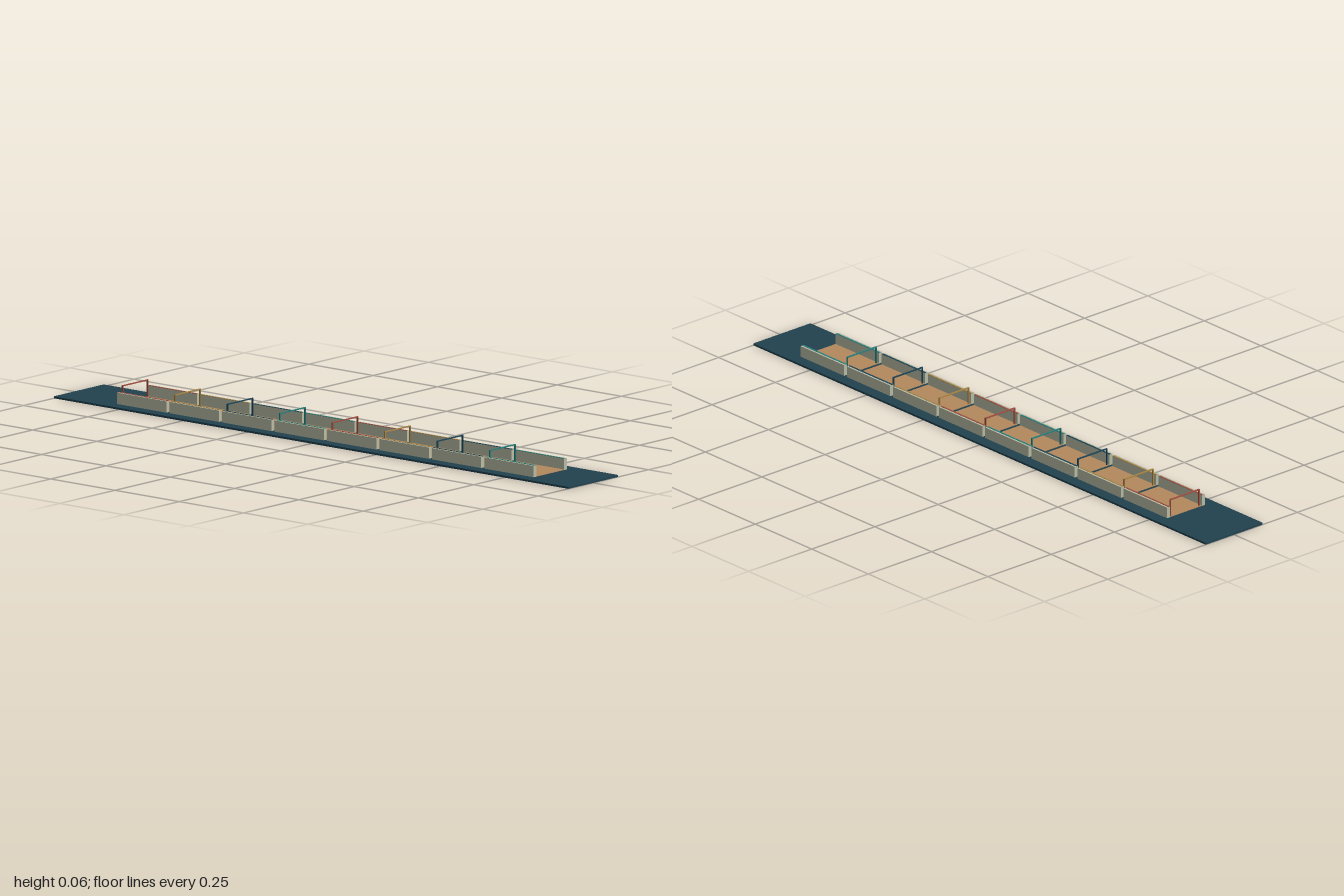
import * as THREE from 'three';

export function createModel() {
  const root = new THREE.Group();
  root.name = 'corridorOfRooms';
  const mat = (name, color) => {
    const m = new THREE.MeshStandardMaterial({ color });
    m.name = name;
    return m;
  };
  const baseMat = mat('deepBlueGreen', 0x21424f);
  const floorMat = mat('tanFloor', 0xb4895d);
  const wallMat = mat('sageWall', 0xb8bda6);
  const accents = [
    mat('teal', 0x2a7f7c),
    mat('navy', 0x1f4657),
    mat('ochre', 0xa98545),
    mat('brickRed', 0xa04f40),
  ];

  // Box given by its lower and upper corners
  const box = (parent, name, m, [x0, y0, z0], [x1, y1, z1]) => {
    const mesh = new THREE.Mesh(new THREE.BoxGeometry(x1 - x0, y1 - y0, z1 - z0), m);
    mesh.position.set((x0 + x1) / 2, (y0 + y1) / 2, (z0 + z1) / 2);
    mesh.name = name;
    parent.add(mesh);
  };

  const baseTop = 0.006, half = 0.096;
  box(root, 'base', baseMat, [-0.113, 0, -1], [0.113, baseTop, 1]);

  // Eight identical rooms in a row, with accent colours in rotation
  for (let i = 0; i < 8; i++) {
    const room = new THREE.Group();
    room.name = `room${i + 1}`;
    room.position.z = 0.737 - i * 0.204;
    root.add(room);
    const accent = accents[i % accents.length];

    box(room, 'floor', floorMat, [-0.063, baseTop, -half], [0.063, 0.0075, half]);

    for (const s of [-1, 1]) {
      const side = (name, m, a, b, y0, y1, z0, z1) =>
        box(room, name, m, [Math.min(s * a, s * b), y0, z0], [Math.max(s * a, s * b), y1, z1]);
      side('wall', wallMat, 0.063, 0.075, baseTop, 0.04, -half, half);
      side('wallTrim', accent, 0.063, 0.069, 0.04, 0.0408, -half, half);
      side('archPost', accent, 0.0555, 0.0585, baseTop, 0.06, -0.0925, -0.0875);
    }
    // Lintel joining the two posts at the rear of the room
    box(room, 'archLintel', accent, [-0.0555, 0.057, -0.0925], [0.0555, 0.06, -0.0875]);
  }
  return root;
}
